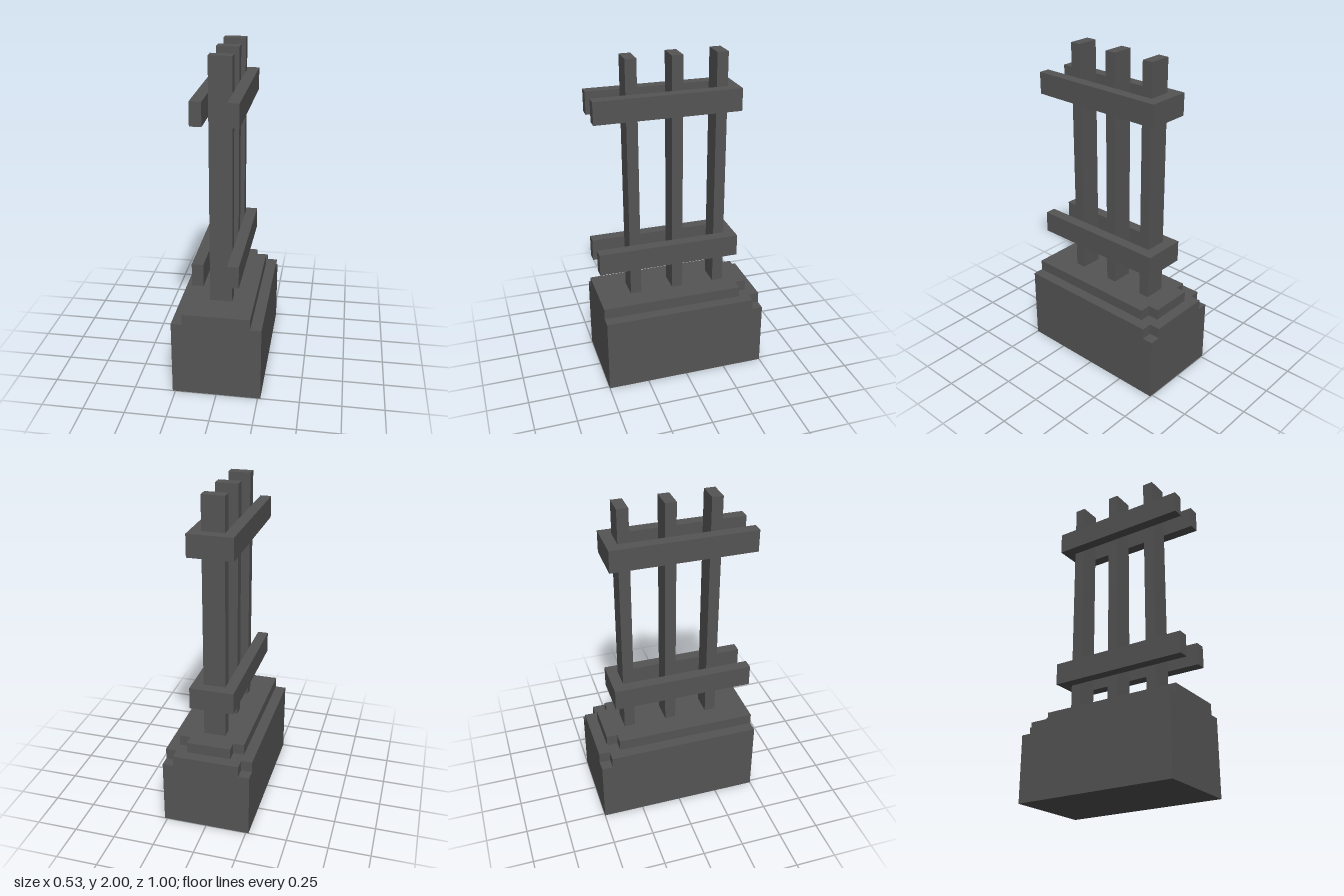
import * as THREE from 'three';

const U = 1 / 15; // grid unit the whole model is built on

export function createModel() {
  const group = new THREE.Group();
  group.name = 'railedPedestal';
  const darkGrey = new THREE.MeshStandardMaterial({ color: 0x555555 });
  darkGrey.name = 'darkGrey';

  // Horizontal slab from a mirrored plan outline: right-hand [x, -z] points, in units
  const slab = (name, half, y0, y1) => {
    const mirrored = half.map(([x, b]) => [-x, b]).reverse();
    const pts = [...half, ...mirrored].map(([x, b]) => new THREE.Vector2(x * U, b * U));
    const geo = new THREE.ExtrudeGeometry(new THREE.Shape(pts), {
      depth: (y1 - y0) * U, bevelEnabled: false,
    });
    geo.rotateX(-Math.PI / 2);
    geo.translate(0, y0 * U, 0);
    const mesh = new THREE.Mesh(geo, darkGrey);
    mesh.name = name;
    group.add(mesh);
  };

  // Base block, with notched back corners in its top layer
  slab('baseBlock', [[4, -7.5], [4, 7.5]], 0, 6);
  slab('baseRim', [[4, -7.5], [4, 6.5], [3, 6.5], [3, 7.5]], 6, 7);
  // Raised step, narrowing towards the back
  slab('baseStep', [[3, -7.5], [3, 5.5], [2, 5.5], [2, 6.5]], 7, 8);

  // U-shaped rails, closed at the back and open at the front
  const railPlan = [[1, 4.5], [1, -7.5], [2, -7.5], [2, 5.5]];
  slab('lowerRail', railPlan, 11, 13);
  slab('upperRail', railPlan, 25, 27);

  // Three upright posts
  for (const z of [-4, 0, 4]) {
    const post = new THREE.Mesh(new THREE.BoxGeometry(2 * U, 22 * U, U), darkGrey);
    post.position.set(0, 19 * U, z * U);
    post.name = 'post';
    group.add(post);
  }
  return group;
}
